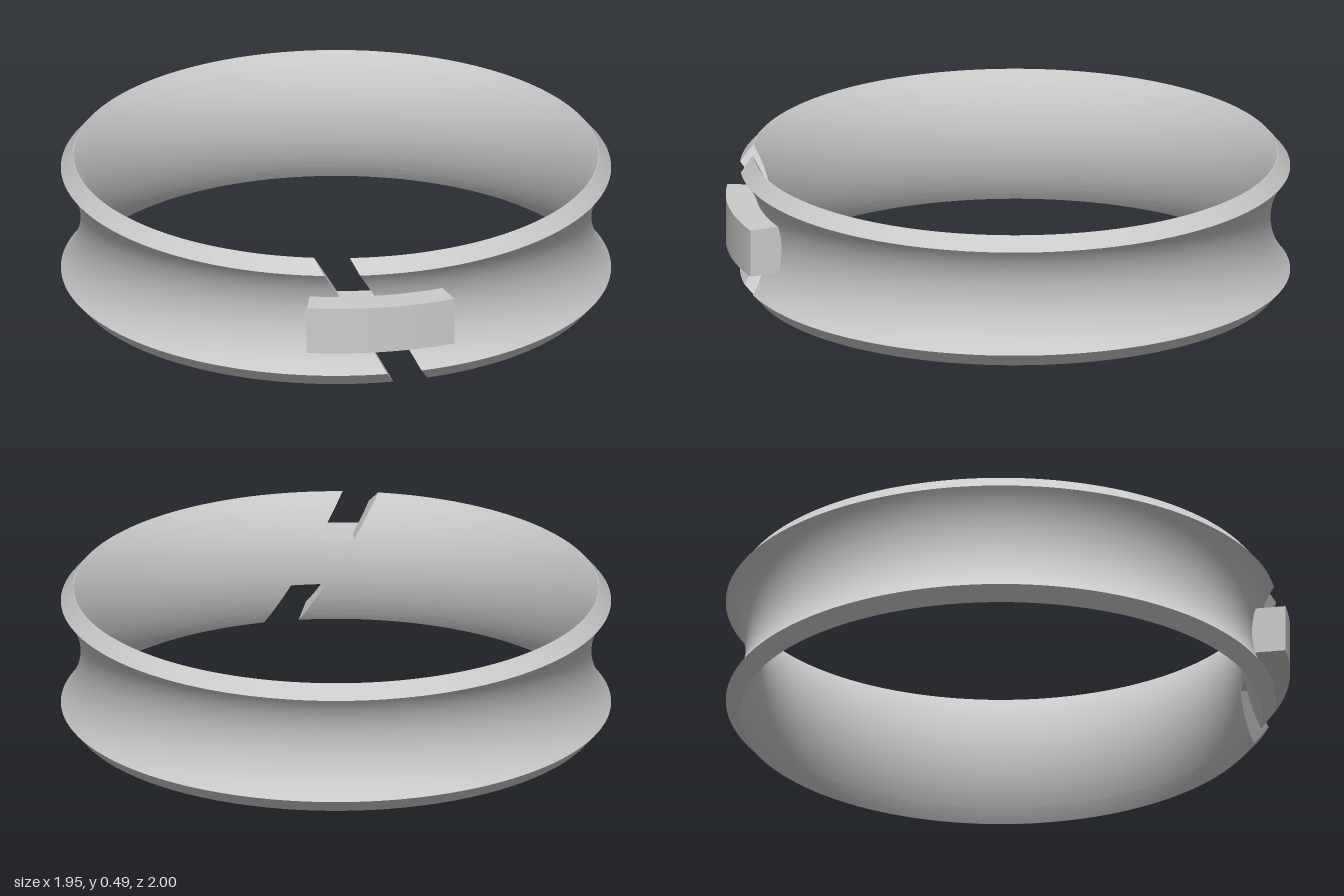
import * as THREE from 'three';
import { mergeGeometries } from 'three/addons/utils/BufferGeometryUtils.js';

const H = 0.485, MID = H / 2, BEVEL = 0.05, CENTRE_Z = -0.025;

// Concave profile: radius at height y for a waist radius and an arc radius
const hollow = (waist, R) => (y) => waist + R - Math.sqrt(R * R - (y - MID) ** 2);
const innerR = hollow(0.855, 0.43);
const arcR = hollow(0.905, 0.3);
const outerR = (y) => {
  const edge = Math.min(y, H - y);
  return edge < BEVEL ? 0.932 + 0.043 * Math.max(edge, 0) / BEVEL : arcR(y);
};

// Smooth grid of quads over point(u, v)
function patch(point, nu, nv, flip = false) {
  const pos = [], index = [];
  for (let j = 0; j <= nv; j++)
    for (let i = 0; i <= nu; i++) pos.push(...point(i / nu, j / nv));
  for (let j = 0; j < nv; j++)
    for (let i = 0; i < nu; i++) {
      const a = j * (nu + 1) + i, b = a + 1, c = a + nu + 1, d = c + 1;
      if (flip) index.push(a, d, b, a, c, d);
      else index.push(a, b, d, a, d, c);
    }
  const g = new THREE.BufferGeometry();
  g.setAttribute('position', new THREE.Float32BufferAttribute(pos, 3));
  g.setIndex(index);
  g.computeVertexNormals();
  return g;
}

// Closed solid swept about the y axis; start and end angles may vary with r and y
function arcSolid({ heights, rIn, rOut, start, end, segments }) {
  const at = (t, r, y) => {
    const a = THREE.MathUtils.lerp(start(r, y), end(r, y), t);
    return [r * Math.sin(a), y, r * Math.cos(a) + CENTRE_Z];
  };
  const parts = [];
  for (let k = 0; k < heights.length - 1; k++) {
    const y0 = heights[k], y1 = heights[k + 1];
    const rows = y1 - y0 > 0.1 ? 24 : 4;
    const Y = (v) => THREE.MathUtils.lerp(y0, y1, v);
    const across = (u, y) => THREE.MathUtils.lerp(rIn(y), rOut(y), u);
    parts.push(
      patch((u, v) => at(u, rOut(Y(v)), Y(v)), segments, rows),
      patch((u, v) => at(u, rIn(Y(v)), Y(v)), segments, rows, true),
      patch((u, v) => at(0, across(u, Y(v)), Y(v)), 1, rows),
      patch((u, v) => at(1, across(u, Y(v)), Y(v)), 1, rows, true)
    );
  }
  // Bottom and top lips
  [heights[0], heights[heights.length - 1]].forEach((y, i) =>
    parts.push(patch((u, v) => at(u, THREE.MathUtils.lerp(rIn(y), rOut(y), v), y), segments, 1, i === 1)));
  return mergeGeometries(parts);
}

export function createModel() {
  const group = new THREE.Group();
  const material = new THREE.MeshStandardMaterial({ color: 0xcccccc });
  const add = (name, geometry) => {
    const mesh = new THREE.Mesh(geometry, material);
    mesh.name = name;
    group.add(mesh);
  };

  // Grooved band, split by a slanted slot at the front
  const slotX = (x, y) => x - (y - MID) * 0.577;
  add('band', arcSolid({
    heights: [0, BEVEL, H - BEVEL, H],
    rIn: innerR,
    rOut: outerR,
    start: (r, y) => Math.asin(slotX(0.04, y) / r),
    end: (r, y) => 2 * Math.PI + Math.asin(slotX(-0.085, y) / r),
    segments: 160,
  }));

  // Curved clasp block bridging the slot
  const half = Math.PI / 12;
  add('clasp', arcSolid({
    heights: [0.158, 0.33],
    rIn: (y) => innerR(y) + 0.002,
    rOut: () => 1.025,
    start: () => -half,
    end: () => half,
    segments: 24,
  }));
  return group;
}
